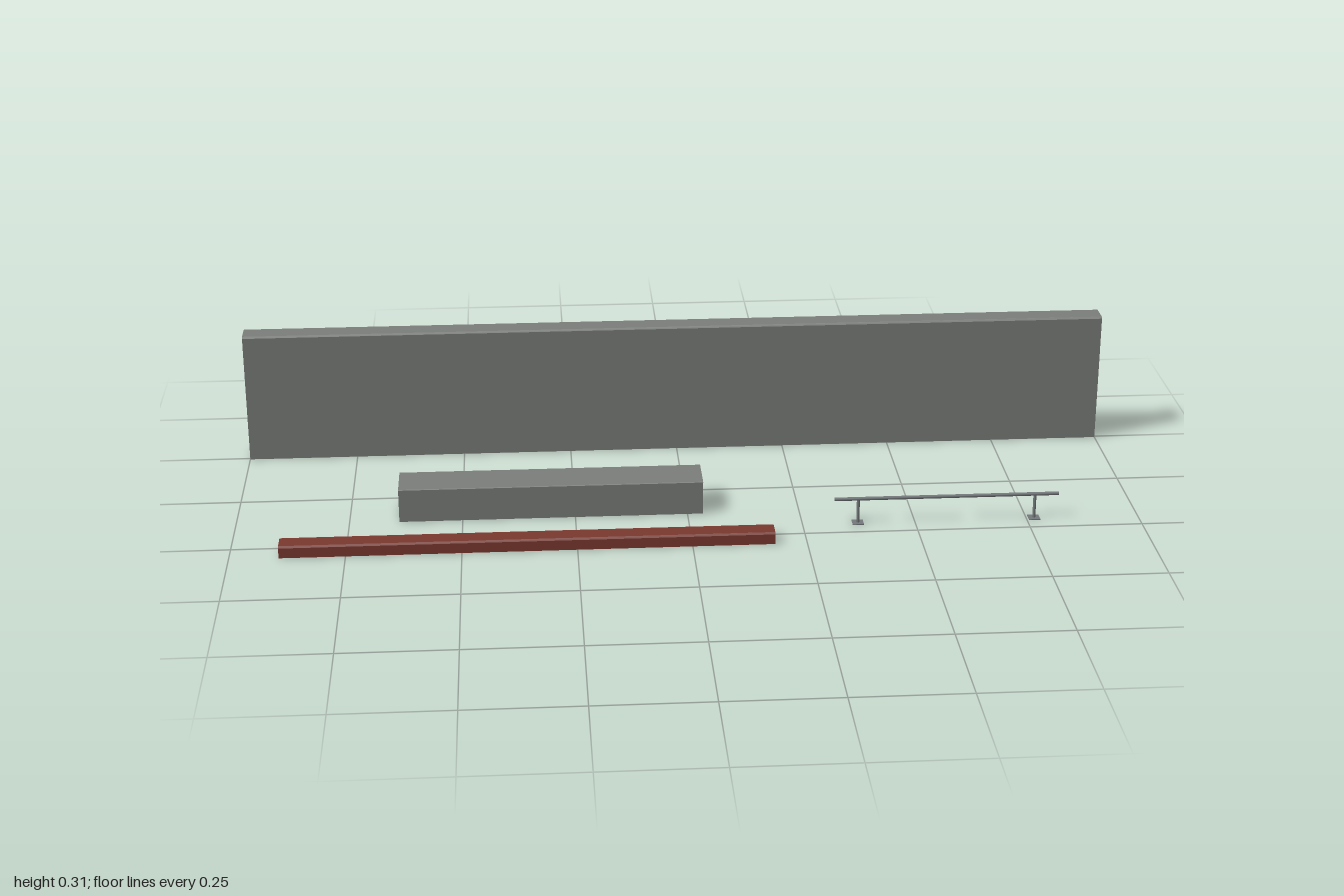
import * as THREE from 'three';

const material = (name, color) => {
  const m = new THREE.MeshStandardMaterial({ color, side: THREE.DoubleSide });
  m.name = name;
  return m;
};

// Solid bar along x with chamfered top edges and an open underside
function bar(name, mat, x0, x1, zBack, zFront, height, backChamfer, frontChamfer) {
  const profile = [
    [zBack, 0], [zBack, height - backChamfer], [zBack + backChamfer, height],
    [zFront - frontChamfer, height], [zFront, height - frontChamfer], [zFront, 0],
  ].filter((p, i, all) => !i || p[0] !== all[i - 1][0] || p[1] !== all[i - 1][1]);
  const shape = new THREE.Shape(profile.map(([z, y]) => new THREE.Vector2(-z, y)));
  const solid = new THREE.ExtrudeGeometry(shape, { depth: x1 - x0, bevelEnabled: false });
  solid.rotateY(Math.PI / 2).translate(x0, 0, 0);

  // Drop the faces lying on the ground
  const source = solid.getAttribute('position');
  const kept = [];
  for (let i = 0; i < source.count; i += 3) {
    const corners = [i, i + 1, i + 2];
    if (corners.every((k) => Math.abs(source.getY(k)) < 1e-6)) continue;
    corners.forEach((k) => kept.push(source.getX(k), source.getY(k), source.getZ(k)));
  }
  const geometry = new THREE.BufferGeometry();
  geometry.setAttribute('position', new THREE.Float32BufferAttribute(kept, 3));
  geometry.computeVertexNormals();
  const mesh = new THREE.Mesh(geometry, mat);
  mesh.name = name;
  return mesh;
}

// Low round rail on two posts with square foot plates
function grindRail(mat) {
  const group = new THREE.Group();
  group.name = 'grindRail';
  const add = (name, geometry, x, y) => {
    const mesh = new THREE.Mesh(geometry, mat);
    mesh.name = name;
    mesh.position.set(x, y, 0.202);
    group.add(mesh);
  };
  add('railTube', new THREE.CylinderGeometry(0.004, 0.004, 0.5, 16).rotateZ(Math.PI / 2), 0.57, 0.058);
  for (const x of [0.373, 0.767]) {
    add('railPost', new THREE.CylinderGeometry(0.0035, 0.0035, 0.056, 12), x, 0.029);
    add('footPlate', new THREE.BoxGeometry(0.025, 0.002, 0.025), x, 0.001);
  }
  return group;
}

export function createModel() {
  const concrete = material('concrete grey', 0x7a7d7a);
  const steel = material('steel grey', 0x74787a);
  const red = material('painted red', 0x7a382f);

  const model = new THREE.Group();
  model.name = 'streetObstacles';
  model.add(
    bar('wall', concrete, -1, 1, -0.3, -0.245, 0.305, 0.004, 0.004),
    bar('ledge', concrete, -0.64, 0.035, 0.032, 0.13, 0.077, 0.0015, 0.0015),
    bar('curb', red, -0.893, 0.18, 0.256, 0.3, 0.027, 0, 0.004),
    grindRail(steel),
  );
  return model;
}
